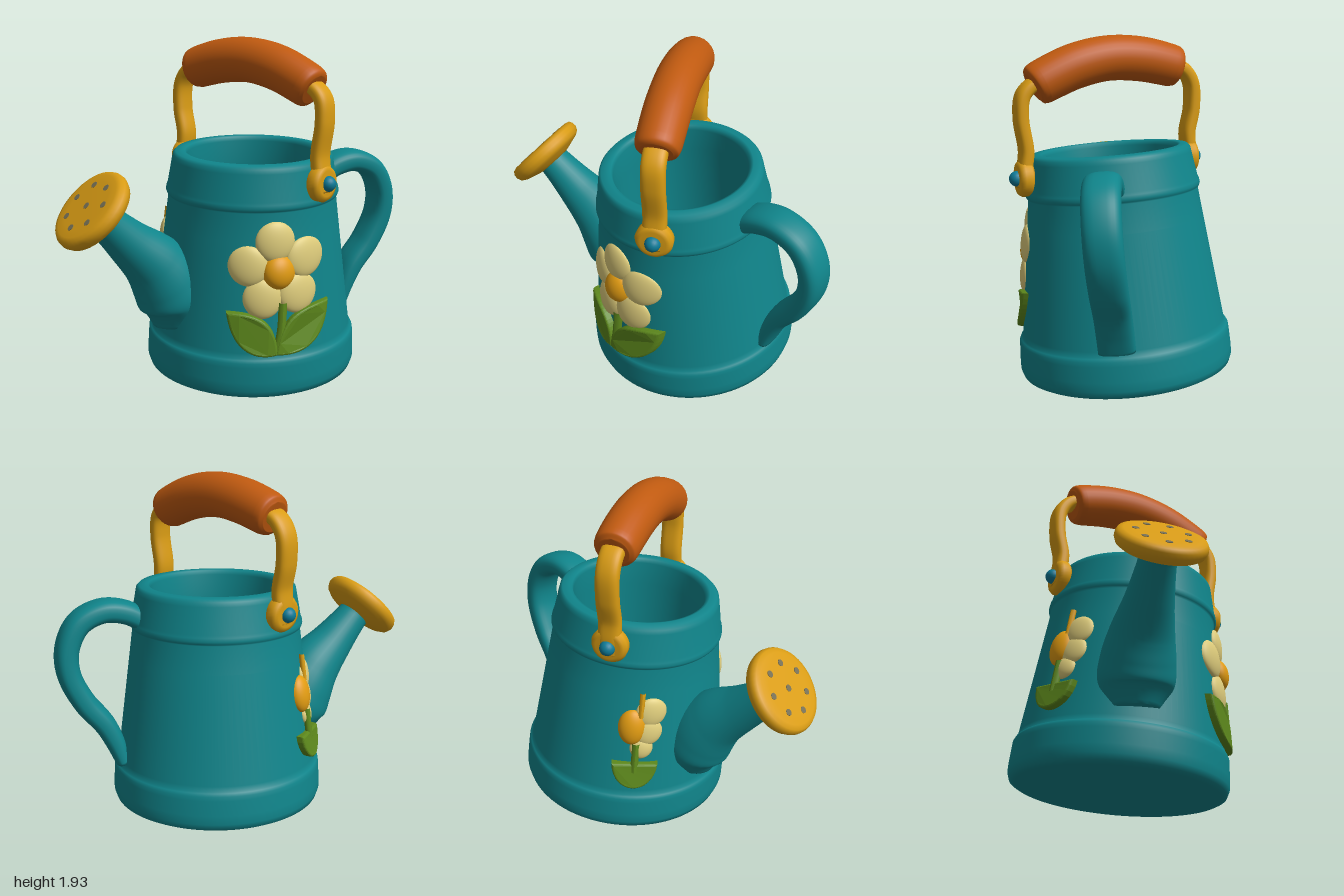
import * as THREE from 'three';

const mat = (name, color, side = THREE.FrontSide) => {
  const m = new THREE.MeshStandardMaterial({ color, side });
  m.name = name;
  return m;
};

// Sweep a soft rounded section along a path in the XY plane.
// Each point is [x, y, half width along z, half thickness in the plane].
function sweep(pts, power = 1, steps = 60, sides = 28) {
  const path = new THREE.CatmullRomCurve3(pts.map(p => new THREE.Vector3(p[0], p[1], 0)));
  const size = new THREE.CatmullRomCurve3(pts.map(p => new THREE.Vector3(p[2], p[3] ?? p[2], 0)), false, 'catmullrom', 0.5);
  const pos = [], index = [];
  const soft = v => Math.sign(v) * Math.abs(v) ** power;
  for (let i = 0; i <= steps; i++) {
    const c = path.getPoint(i / steps), t = path.getTangent(i / steps), r = size.getPoint(i / steps);
    for (let j = 0; j < sides; j++) {
      const a = (j / sides) * Math.PI * 2, n = soft(Math.cos(a)) * r.y;
      pos.push(c.x - t.y * n, c.y + t.x * n, soft(Math.sin(a)) * r.x);
      if (i === steps) continue;
      const k = (j + 1) % sides, p = i * sides;
      index.push(p + j, p + k, p + sides + j, p + k, p + sides + k, p + sides + j);
    }
  }
  const last = steps * sides;
  for (let j = 1; j < sides - 1; j++) index.push(0, j + 1, j, last, last + j, last + j + 1);
  const g = new THREE.BufferGeometry();
  g.setAttribute('position', new THREE.Float32BufferAttribute(pos, 3));
  g.setIndex(index);
  g.computeVertexNormals();
  return g;
}

// Radius of the tapered wall at height y
const wallRadius = y => 0.612 - 0.13 * y;

// Lay a flat geometry onto the curved wall, keeping z as its relief
function wrap(g) {
  const p = g.attributes.position;
  for (let i = 0; i < p.count; i++) {
    const x = p.getX(i), r = wallRadius(p.getY(i));
    p.setZ(i, Math.sqrt(r * r - x * x) + p.getZ(i));
  }
  g.computeVertexNormals();
  return g;
}

const pad = (x, y, rx, ry, d) => wrap(new THREE.SphereGeometry(1, 32, 20).scale(rx, ry, d).translate(x, y, 0));

const leafPlate = shape => wrap(new THREE.ExtrudeGeometry(shape, {
  depth: 0.03, curveSegments: 16, bevelThickness: 0.012, bevelSize: 0.012, bevelOffset: -0.012, bevelSegments: 3,
}));

const stalk = (pts, r) => wrap(new THREE.TubeGeometry(
  new THREE.CatmullRomCurve3(pts.map(p => new THREE.Vector3(p[0], p[1], 0.015))), 16, r, 10));

const lathe = (pts, n = 72) => new THREE.LatheGeometry(pts.map(p => new THREE.Vector2(...p)), n);

export function createModel() {
  const teal = mat('teal enamel', 0x10858b);
  const yellow = mat('yellow metal', 0xd99c14);
  const orange = mat('orange grip', 0xc05a10);
  const cream = mat('cream petal', 0xdfcd7c);
  const gold = mat('golden flower centre', 0xe29c12);
  const green = mat('leaf green', 0x5d881c);
  const blue = mat('blue rivet', 0x0d7b98);
  const hollow = mat('dull hole', 0x756f55);

  const model = new THREE.Group();
  model.name = 'wateringCan';
  const add = (parent, name, geometry, material) => {
    const m = new THREE.Mesh(geometry, material);
    m.name = name;
    parent.add(m);
    return m;
  };
  const group = (parent, name) => {
    const g = new THREE.Group();
    g.name = name;
    parent.add(g);
    return g;
  };

  // Leaning body with base band, collar and open inside
  const body = group(model, 'body');
  body.position.set(0.095, 0.055, -0.07);
  body.rotation.x = 0.085;
  add(body, 'vessel', lathe([
    [0, 0], [0.56, 0], [0.575, 0.002], [0.598, 0.015], [0.61, 0.05], [0.609, 0.1], [0.604, 0.185],
    [0.602, 0.21], [0.594, 0.226], [0.584, 0.232], [0.578, 0.26], [0.5, 0.86], [0.48, 1.015],
    [0.489, 1.025], [0.494, 1.04], [0.491, 1.06], [0.484, 1.075], [0.458, 1.22], [0.453, 1.245],
    [0.438, 1.26], [0.4, 1.264], [0.383, 1.258], [0.373, 1.235], [0.368, 1.1], [0.36, 0.22], [0.34, 0.2], [0, 0.2],
  ], 96), teal);

  // Side handle
  const side = group(body, 'sideHandle');
  side.rotation.y = 0.34;
  add(side, 'sideHandleLoop', sweep([
    [0.42, 1.07, 0.1, 0.06], [0.535, 1.13, 0.1, 0.065], [0.66, 1.145, 0.1, 0.065], [0.79, 1.085, 0.1, 0.065],
    [0.86, 0.95, 0.1, 0.065], [0.857, 0.8, 0.1, 0.065], [0.778, 0.63, 0.1, 0.065], [0.67, 0.49, 0.1, 0.062],
    [0.615, 0.38, 0.1, 0.055], [0.575, 0.26, 0.1, 0.04],
  ], 0.75, 80), teal);

  // Front flower
  const flower = group(body, 'frontFlower');
  for (let i = 0; i < 5; i++) {
    const a = Math.PI * (0.53 + i * 0.4);
    add(flower, 'petal', pad(0.09 + 0.165 * Math.cos(a), 0.7 + 0.163 * Math.sin(a), 0.108, 0.108, 0.038), cream);
  }
  add(flower, 'flowerCentre', pad(0.095, 0.7, 0.09, 0.092, 0.062), gold);
  add(flower, 'stem', stalk([[0.115, 0.54], [0.105, 0.38], [0.08, 0.27]], 0.024), green);
  const left = new THREE.Shape().moveTo(0.085, 0.26);
  left.bezierCurveTo(0.08, 0.42, 0.0, 0.5, -0.19, 0.49);
  left.bezierCurveTo(-0.17, 0.31, -0.07, 0.23, 0.085, 0.26);
  const right = new THREE.Shape().moveTo(0.075, 0.26);
  right.bezierCurveTo(0.27, 0.24, 0.37, 0.32, 0.38, 0.51);
  right.bezierCurveTo(0.2, 0.51, 0.1, 0.46, 0.075, 0.26);
  for (const s of [left, right]) add(flower, 'leaf', leafPlate(s), green);

  // Small partial flower behind the spout
  const small = group(body, 'sideFlower');
  small.rotation.y = -1.994;
  for (const [x, y, r] of [[0.1, 0.76, 0.085], [0.09, 0.64, 0.08], [0.06, 0.54, 0.065]])
    add(small, 'petal', pad(x, y, r, r, 0.03), cream);
  add(small, 'flowerCentre', pad(0, 0.67, 0.078, 0.105, 0.05), gold);
  add(small, 'bud', stalk([[0.045, 0.74], [0.045, 0.82], [0.045, 0.89]], 0.016), yellow);
  add(small, 'stem', stalk([[0.03, 0.58], [0.03, 0.5], [0.03, 0.4]], 0.022), green);
  const half = new THREE.Shape().moveTo(-0.1, 0.45);
  half.bezierCurveTo(-0.09, 0.25, 0.15, 0.25, 0.16, 0.45);
  half.lineTo(-0.1, 0.45);
  add(small, 'leaf', leafPlate(half), green);

  // Spout with sprinkler rose
  const spout = group(model, 'spout');
  spout.position.set(-0.785, 0, 0.455);
  spout.rotation.y = Math.atan2(-0.54, -0.84);
  add(spout, 'spoutTube', sweep([
    [-0.015, 1.03, 0.1], [-0.074, 0.978, 0.1], [-0.22, 0.844, 0.13], [-0.37, 0.71, 0.175],
    [-0.45, 0.6, 0.2], [-0.5, 0.48, 0.2], [-0.51, 0.35, 0.13],
  ]), teal);
  const rose = group(spout, 'rose');
  rose.position.y = 1.045;
  rose.rotation.z = -0.834;
  add(rose, 'roseHead', lathe([
    [0, -0.075], [0.09, -0.075], [0.12, -0.068], [0.2, -0.045], [0.228, -0.028], [0.24, 0],
    [0.238, 0.025], [0.226, 0.044], [0.2, 0.052], [0.15, 0.054], [0, 0.054],
  ], 48), yellow);
  for (let i = 0; i < 8; i++) {
    const a = (i / 7) * Math.PI * 2, r = i === 7 ? 0 : 0.14;
    add(rose, 'sprinkleHole', new THREE.CylinderGeometry(0.019, 0.019, 0.006, 14), hollow)
      .position.set(r * Math.cos(a), 0.053, r * Math.sin(a));
  }

  // Carrying handle set diagonally over the opening
  const bail = group(model, 'carryHandle');
  bail.position.set(0.08, 0, 0.05);
  bail.rotation.y = -Math.PI / 4;
  add(bail, 'grip', sweep([
    [-0.43, 1.753, 0.085], [-0.415, 1.757, 0.11], [-0.38, 1.767, 0.12], [-0.2, 1.805, 0.125], [0, 1.813, 0.125],
    [0.2, 1.772, 0.125], [0.39, 1.69, 0.12], [0.425, 1.672, 0.11], [0.437, 1.665, 0.085],
  ]), orange);
  const straps = {
    frontStrap: [[0.5, 1.12], [0.492, 1.22], [0.482, 1.32], [0.508, 1.5], [0.495, 1.62], [0.435, 1.68], [0.34, 1.7]],
    backStrap: [[-0.5, 1.19], [-0.5, 1.28], [-0.492, 1.38], [-0.518, 1.52], [-0.51, 1.67], [-0.45, 1.75], [-0.34, 1.78]],
  };
  for (const [name, pts] of Object.entries(straps)) {
    const strap = group(bail, name);
    add(strap, 'strapBand', sweep(pts.map(p => [...p, 0.064, 0.04]), 0.75), yellow);
    // Rounded end tab and rivet
    const dir = Math.sign(pts[0][0]), tab = group(strap, 'strapEnd');
    tab.position.set(dir * 0.495, pts[0][1] + 0.05, 0);
    tab.rotation.z = -dir * Math.PI / 2;
    add(tab, 'tab', lathe([[0, -0.04], [0.085, -0.04], [0.1, -0.025], [0.103, 0.015], [0.09, 0.035], [0.07, 0.04], [0, 0.04]], 36), yellow);
    add(tab, 'rivet', new THREE.SphereGeometry(0.043, 20, 14), blue).position.y = 0.042;
  }

  return model;
}
